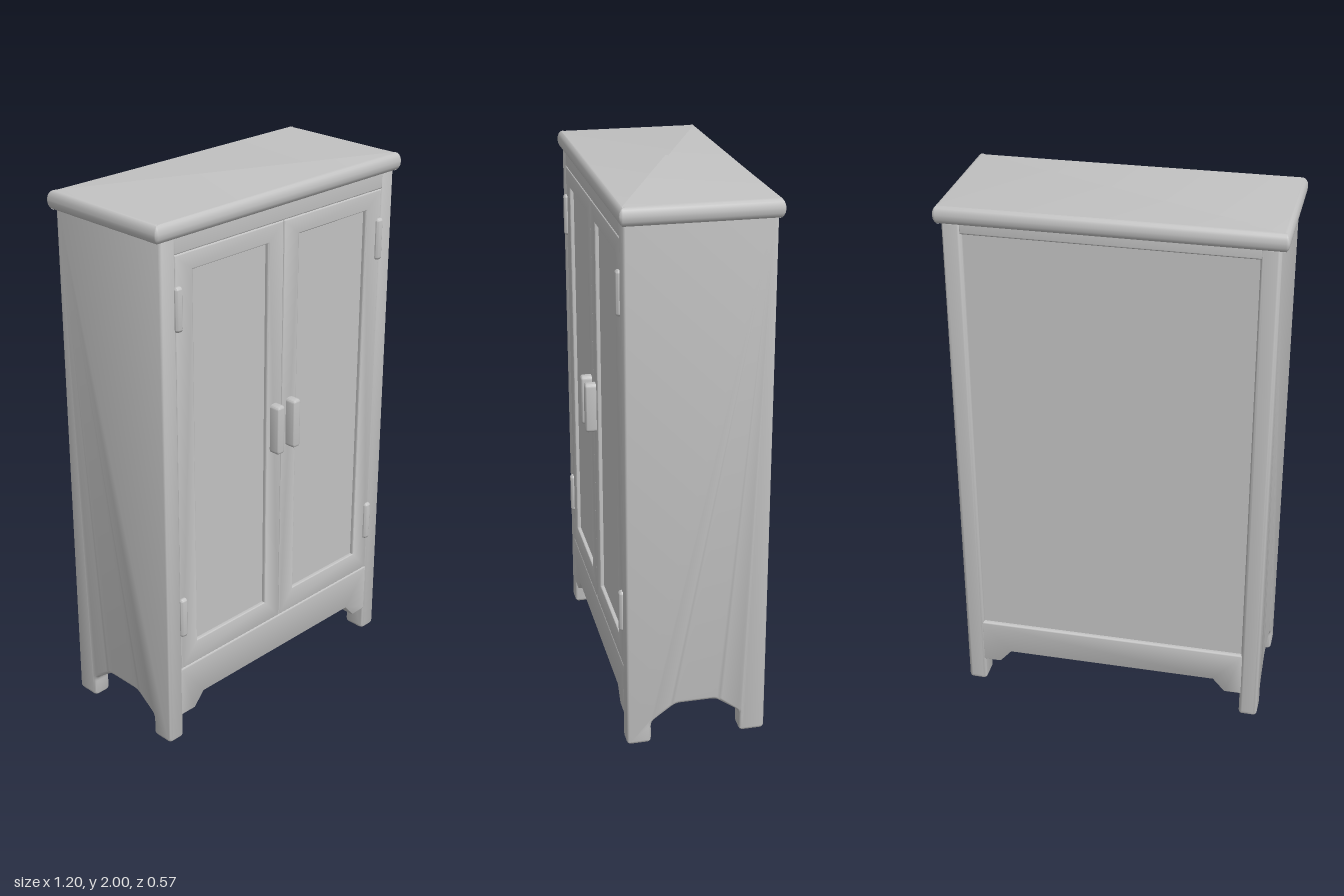
import * as THREE from 'three';
import { toCreasedNormals } from 'three/addons/utils/BufferGeometryUtils.js';
import { RoundedBoxGeometry } from 'three/addons/geometries/RoundedBoxGeometry.js';

const grey = new THREE.MeshStandardMaterial({ color: 0xc2c2c2 });
grey.name = 'plain grey';

// Outline from points; positive radius rounds every corner
function outline(points, radius = 0, Type = THREE.Shape) {
  const path = new Type();
  points.forEach(([x, y], i) => {
    const p = new THREE.Vector2(x, y);
    const before = new THREE.Vector2(...points[(i + points.length - 1) % points.length]);
    const after = new THREE.Vector2(...points[(i + 1) % points.length]);
    const a = before.sub(p).setLength(radius).add(p);
    const b = after.sub(p).setLength(radius).add(p);
    if (i === 0) path.moveTo(a.x, a.y);
    else path.lineTo(a.x, a.y);
    if (radius > 0) path.quadraticCurveTo(x, y, b.x, b.y);
  });
  path.closePath();
  return path;
}

const rect = (x0, x1, y0, y1) => [[x0, y0], [x1, y0], [x1, y1], [x0, y1]];

// Board with rounded edges, lying between z0 and z1
function board(shape, z0, z1, bevel, thickness = bevel) {
  const geometry = new THREE.ExtrudeGeometry(shape, {
    depth: z1 - z0 - 2 * thickness, bevelEnabled: true, bevelSize: bevel,
    bevelThickness: thickness, bevelOffset: -bevel, bevelSegments: 4, curveSegments: 4,
  });
  geometry.translate(0, 0, z0 + thickness);
  return geometry;
}

export function createModel() {
  const group = new THREE.Group();
  group.name = 'cabinet';

  const add = (name, geometry, x = 0, y = 0, z = 0) => {
    const mesh = new THREE.Mesh(toCreasedNormals(geometry, 0.7), grey);
    mesh.name = name;
    mesh.position.set(x, y, z);
    group.add(mesh);
  };
  const box = (name, x0, x1, y0, y1, z0, z1) =>
    add(name, new THREE.BoxGeometry(x1 - x0, y1 - y0, z1 - z0),
      (x0 + x1) / 2, (y0 + y1) / 2, (z0 + z1) / 2);

  // Overhanging top with a rounded rim
  const top = board(outline(rect(-0.6, 0.6, -0.26, 0.285), 0.012), 1.935, 2, 0.022, 0.03);
  top.rotateX(-Math.PI / 2);
  add('top', top);

  // Closed carcass: floor, inside and recessed back
  box('carcass', -0.52, 0.52, 0.19, 1.95, -0.252, 0.215);

  // Sides, each cut out below to form a front and a back foot
  const sideOutline = [
    [-0.27, 0], [-0.175, 0], [-0.175, 0.085], [-0.085, 0.15], [0.065, 0.15],
    [0.155, 0.085], [0.155, 0], [0.245, 0], [0.245, 1.95], [-0.27, 1.95],
  ];
  for (const s of [-1, 1]) {
    const side = board(outline(sideOutline, 0.018), -0.035, 0.035, 0.014);
    side.rotateY(-Math.PI / 2);
    add(s > 0 ? 'leftSide' : 'rightSide', side, s * 0.54);
  }

  // Aprons with stepped brackets beside the feet
  const apron = (top) => outline([
    [-0.515, 0.098], [-0.445, 0.098], [-0.4, 0.15], [0.4, 0.15],
    [0.445, 0.098], [0.515, 0.098], [0.515, top], [-0.515, top],
  ]);
  add('frontApron', board(apron(0.299), 0.19, 0.244, 0.007));
  add('backApron', board(apron(0.28), -0.268, -0.21, 0.01));

  // Rails under the top
  add('frontRail', board(outline(rect(-0.515, 0.515, 1.881, 1.95)), 0.2, 0.244, 0.006));
  add('backRail', board(outline(rect(-0.515, 0.515, 1.9, 1.95)), -0.268, -0.23, 0.008));

  // Doors with recessed panels, handles and hinges
  for (const s of [-1, 1]) {
    const label = s > 0 ? 'left' : 'right';
    const span = (a, b) => (s > 0 ? [a, b] : [-b, -a]);

    const frame = outline(rect(...span(0.001, 0.51), 0.301, 1.879));
    frame.holes.push(outline(rect(...span(0.077, 0.43), 0.39, 1.815), 0, THREE.Path));
    add(label + 'DoorFrame', board(frame, 0.205, 0.244, 0.005));
    box(label + 'DoorPanel', ...span(0.07, 0.44), 0.38, 1.825, 0.2, 0.229);

    add(label + 'Handle', board(outline(rect(-0.019, 0.019, 1.02, 1.21), 0.014), 0.23, 0.285, 0.011),
      s * 0.041);
    for (const y of [0.52, 1.695]) {
      add(label + 'Hinge', new RoundedBoxGeometry(0.03, 0.158, 0.04, 3, 0.011), s * 0.5, y, 0.237);
    }
  }
  return group;
}
